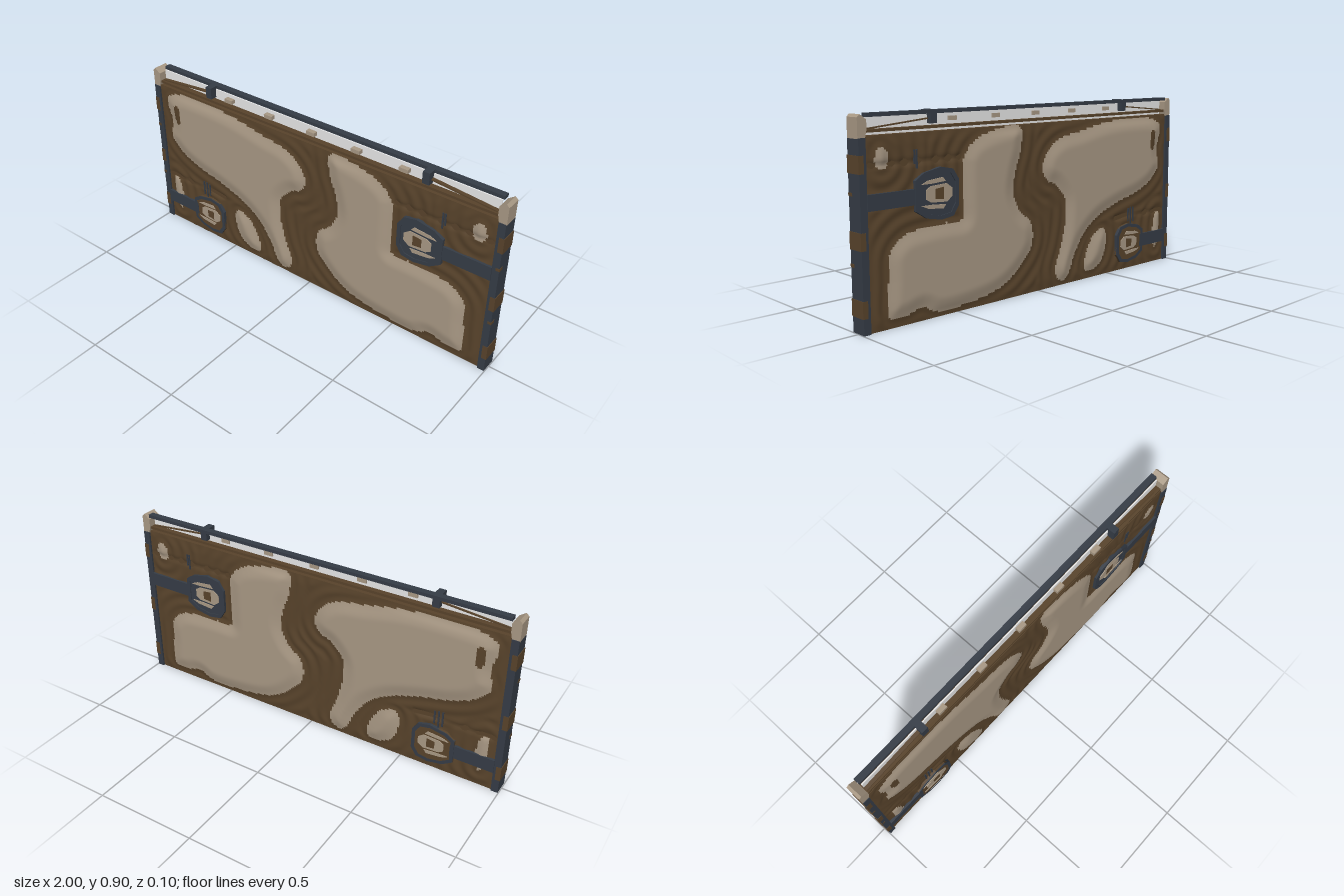
import * as THREE from 'three';

const mat = (name, color, side = THREE.FrontSide) => {
  const m = new THREE.MeshStandardMaterial({ color, side });
  m.name = name;
  return m;
};

// Smooth closed outline through a few points
const outline = (pts) =>
  new THREE.CatmullRomCurve3(pts.map(([x, y]) => new THREE.Vector3(x, y, 0)), true, 'centripetal')
    .getPoints(pts.length * 4).slice(0, -1);

const islands = [
  // large upper patch with a tail sweeping down
  [[-.92, .74], [-.87, .785], [-.68, .8], [-.47, .79], [-.28, .755], [-.14, .73], [-.05, .67], [-.02, .59],
    [-.05, .535], [-.11, .51], [-.175, .43], [-.18, .34], [-.15, .2], [-.11, .085], [-.135, .03], [-.19, .03],
    [-.245, .14], [-.31, .235], [-.42, .315], [-.58, .37], [-.74, .41], [-.845, .46], [-.91, .535], [-.89, .62]],
  // large lower patch with a notch for the buckle
  [[.12, .8], [.25, .8], [.4, .755], [.46, .69], [.465, .66], [.465, .5], [.467, .42], [.478, .411], [.56, .41],
    [.67, .405], [.79, .385], [.86, .32], [.87, .2], [.87, .05], [.79, .04], [.7, .06], [.62, .025], [.43, .03],
    [.25, .065], [.13, .14], [.05, .24], [.055, .34], [.13, .41], [.17, .5], [.155, .6], [.12, .7]],
  // small patches
  [[-.47, .24], [-.4, .23], [-.34, .15], [-.315, .06], [-.37, .035], [-.45, .08], [-.485, .17]],
  [[-.92, .28], [-.885, .26], [-.87, .17], [-.89, .08], [-.92, .12]],
  [[.86, .74], [.885, .765], [.91, .755], [.92, .7], [.895, .67], [.86, .685]],
].map(outline);

// Signed distance to the nearest patch, positive inside
function patchDistance(x, y) {
  let best = -1;
  for (const p of islands) {
    let d2 = 9, inside = false;
    for (let i = 0, j = p.length - 1; i < p.length; j = i++) {
      const a = p[j], b = p[i], ex = b.x - a.x, ey = b.y - a.y;
      const t = THREE.MathUtils.clamp(((x - a.x) * ex + (y - a.y) * ey) / (ex * ex + ey * ey + 1e-12), 0, 1);
      d2 = Math.min(d2, (x - a.x - t * ex) ** 2 + (y - a.y - t * ey) ** 2);
      if ((a.y > y) !== (b.y > y) && x < a.x + (ex * (y - a.y)) / ey) inside = !inside;
    }
    best = Math.max(best, inside ? Math.sqrt(d2) : -Math.sqrt(d2));
  }
  return best;
}

// Half thickness of the padded panel: raised patches, folds between them, thin at the rim
function thickness(x, y) {
  const d = patchDistance(x, y), s = THREE.MathUtils.smoothstep;
  let z = 0.034 + 0.014 * s(d, -0.015, 0.07);
  if (d < 0) z += 0.003 * Math.sin(d * 95) * s(-d, 0, 0.03);
  const groove = (gy) => 0.006 * Math.exp(-(((y - gy) / 0.012) ** 2));
  if (x > 0.47) z -= groove(0.69);
  if (x < -0.55) z -= groove(0.285);
  const rim = Math.min(0.965 - Math.abs(x), y, 0.81 - y);
  return THREE.MathUtils.lerp(0.03, z, s(rim, -0.015, 0.05));
}

// One padded face; sign +1 is the front, -1 the back
function paddedFace(sign) {
  const nx = 194, ny = 82, pos = [], brown = [], tan = [];
  const X = (i) => -0.965 + (1.93 * i) / nx, Y = (j) => (0.81 * j) / ny;
  for (let j = 0; j <= ny; j++)
    for (let i = 0; i <= nx; i++) pos.push(X(i), Y(j), sign * thickness(X(i), Y(j)));
  for (let j = 0; j < ny; j++) {
    for (let i = 0; i < nx; i++) {
      const a = j * (nx + 1) + i, b = a + 1, c = a + nx + 1, d = c + 1;
      const x = X(i + 0.5), y = Y(j + 0.5);
      const slot = ((x + 0.845) / 0.024) ** 2 + ((y - 0.68) / 0.055) ** 2 < 1;
      const list = patchDistance(x, y) > 0 && !slot ? tan : brown;
      if (sign > 0) list.push(a, b, d, a, d, c);
      else list.push(a, d, b, a, c, d);
    }
  }
  const g = new THREE.BufferGeometry();
  g.setAttribute('position', new THREE.Float32BufferAttribute(pos, 3));
  g.setIndex([...brown, ...tan]);
  g.addGroup(0, brown.length, 0);
  g.addGroup(brown.length, tan.length, 1);
  g.computeVertexNormals();
  return g;
}

export function createModel() {
  const model = new THREE.Group();
  model.name = 'paddedBarrier';
  const brown = mat('brown', 0x58432b), tan = mat('tan', 0xa89884);
  const dark = mat('slate', 0x353c46), white = mat('white', 0xffffff);

  const add = (parent, name, geo, material) => {
    const m = new THREE.Mesh(geo, material);
    m.name = name;
    parent.add(m);
    return m;
  };
  // Box given by its limits
  const box = (parent, name, material, x0, x1, y0, y1, z0, z1) => {
    const m = add(parent, name, new THREE.BoxGeometry(x1 - x0, y1 - y0, z1 - z0), material);
    m.position.set((x0 + x1) / 2, (y0 + y1) / 2, (z0 + z1) / 2);
    return m;
  };
  // Flat shape extruded evenly to both sides of z = 0
  const slab = (parent, name, material, pts, half, hole) => {
    const v = (l) => l.map(([x, y]) => new THREE.Vector2(x, y));
    const s = new THREE.Shape(v(pts));
    if (hole) s.holes.push(new THREE.Path(v(hole)));
    const g = new THREE.ExtrudeGeometry(s, { depth: half * 2, bevelEnabled: false });
    return add(parent, name, g.translate(0, 0, -half), material);
  };

  // Padded panel
  add(model, 'frontPadding', paddedFace(1), [brown, tan]);
  add(model, 'backPadding', paddedFace(-1), [brown, tan]);
  box(model, 'panelCore', brown, -0.965, 0.965, 0, 0.81, -0.03, 0.03);

  // End posts with bands, caps, brackets and struts
  for (const s of [-1, 1]) {
    const end = new THREE.Group();
    end.name = s > 0 ? 'leftPost' : 'rightPost';
    model.add(end);
    const bx = (name, m, x0, x1, ...r) => box(end, name, m, Math.min(s * x0, s * x1), Math.max(s * x0, s * x1), ...r);
    bx('post', dark, 0.963, 0.997, 0, 0.803, -0.04, 0.04);
    for (const y of [0.07, 0.35, 0.66]) bx('band', brown, 0.975, 1, y, y + 0.074, -0.041, 0.041);
    for (const y of [0.283, 0.575]) bx('bandTab', brown, 0.98, 0.999, y - 0.007, y + 0.007, 0.015, 0.041);
    slab(end, 'postCap', tan,
      [[s * 0.963, 0.8], [s * 0.998, 0.8], [s * 0.998, 0.885], [s * 0.985, 0.897], [s * 0.955, 0.875], [s * 0.955, 0.835]], 0.037);
    bx('railBracket', dark, 0.6, 0.634, 0.842, 0.9, -0.03, 0.036);
    const strut = bx('strut', brown, 0.63, 0.95, 0.846, 0.852, -0.012, 0.02);
    strut.rotation.z = -s * 0.09;
  }

  // Top rail, light strip and clips
  box(model, 'topRail', dark, -0.955, 0.955, 0.884, 0.9, -0.037, -0.006);
  box(model, 'topBar', brown, -0.955, 0.955, 0.822, 0.834, -0.03, 0.03);
  box(model, 'lightStrip', white, -0.95, 0.95, 0.81, 0.885, -0.004, 0.002);
  for (let i = -2; i <= 2; i++) box(model, 'clip', tan, i * 0.25 - 0.023, i * 0.25 + 0.023, 0.849, 0.868, -0.012, 0.026);

  // Buckle with strap; built pointing to -x, placed on both faces at once
  const buckle = (name, x, y, sx, plateMat, rimMat, size) => {
    const g = new THREE.Group();
    g.name = name;
    g.position.set(x, y, 0);
    model.add(g);
    const at = (pts) => pts.map(([a, b]) => [a * sx * size, b * size]);
    const ring = [[-.115, -.06], [-.085, -.105], [-.02, -.115], [.06, -.1], [.115, -.065],
      [.115, .065], [.07, .095], [-.02, .113], [-.085, .1], [-.115, .055]];
    slab(g, 'bucklePlate', plateMat, at(ring), 0.044);
    slab(g, 'buckleRim', rimMat, at(ring), 0.0485, at(ring.map(([a, b]) => [a * 0.84, b * 0.84])));
    slab(g, 'buckleTongue', tan, at([[-.08, -.018], [-.05, -.04], [.035, -.035], [.06, -.02],
      [.06, .02], [.035, .035], [-.05, .04], [-.08, .018]]), 0.0475);
    for (const k of [-1, 1])
      slab(g, 'buckleProng', tan, at([[-.045, k * .05], [-.03, k * .068], [.05, k * .06], [.085, k * .045], [.03, k * .045]]), 0.0475);
    slab(g, 'buckleButton', brown, at([[-.032, -.026], [.012, -.021], [.012, .021], [-.032, .026]]), 0.049);
    return g;
  };
  buckle('upperBuckle', 0.617, 0.545, 1, dark, dark, 1);
  buckle('lowerBuckle', -0.665, 0.142, -1, brown, dark, 0.92);
  box(model, 'upperStrap', dark, 0.71, 0.965, 0.508, 0.576, -0.045, 0.045);
  box(model, 'lowerStrap', dark, -0.965, -0.75, 0.106, 0.174, -0.045, 0.045);

  // Small dark marks beside the buckles, on both faces
  for (const [x, y, h] of [[0.715, 0.7, 0.08], [0.727, 0.71, 0.06], [-0.7, 0.29, 0.08], [-0.68, 0.285, 0.09], [-0.66, 0.29, 0.07]])
    for (const s of [-1, 1])
      box(model, 'mark', dark, x - 0.004, x + 0.004, y - h / 2, y + h / 2, s * 0.036 - 0.002, s * 0.036 + 0.002);

  return model;
}
